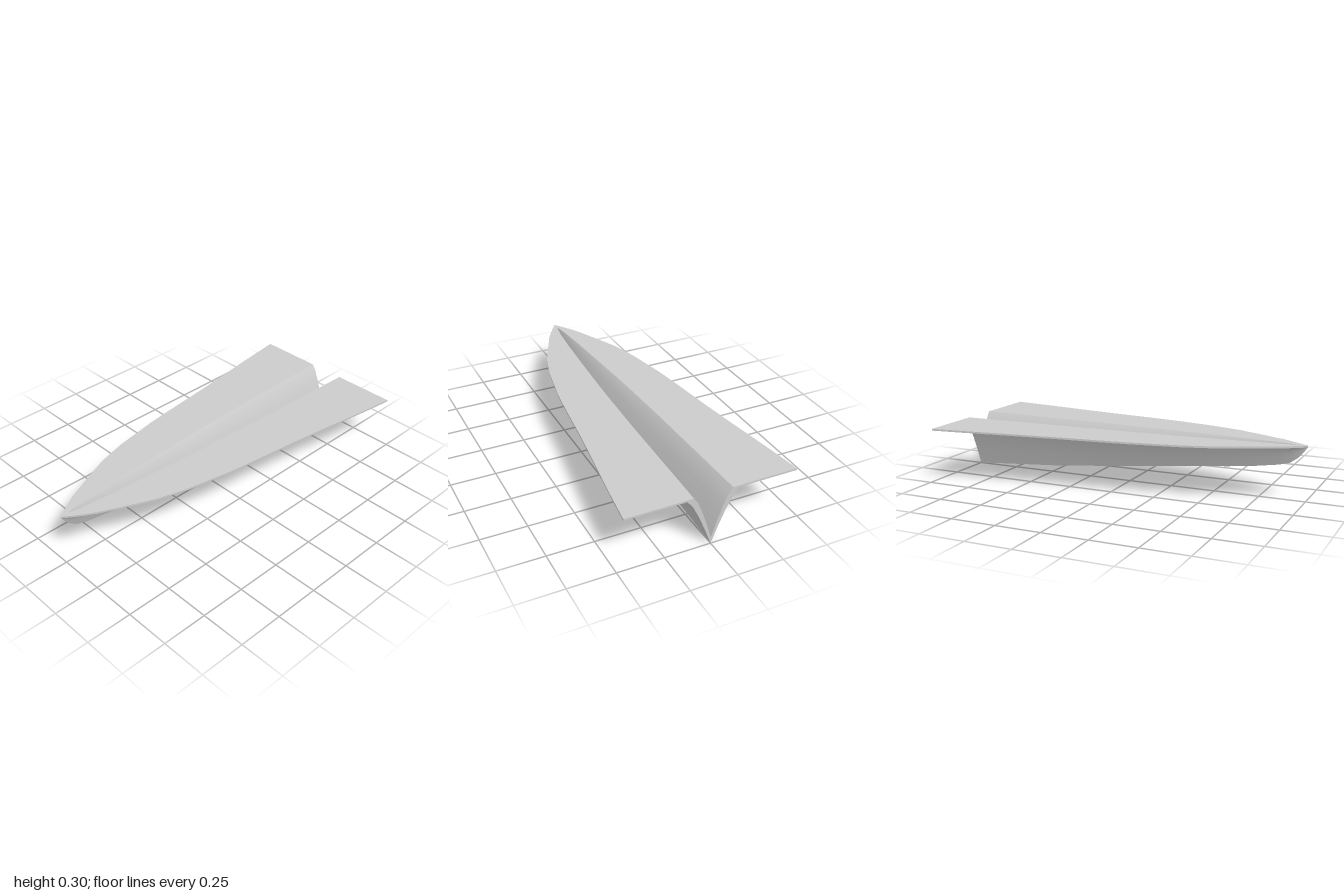
import * as THREE from 'three';
import { toCreasedNormals } from 'three/addons/utils/BufferGeometryUtils.js';

const WING_TOP = 0.303, WING_BOTTOM = 0.293;

// Stations from tail to nose: z, wing half width, groove half width, keel height
const STATIONS = [
  [-1, 0.465, 0.105, 0.003],
  [-0.8, 0.44, 0.1, 0.018],
  [-0.5, 0.397, 0.092, 0.039],
  [-0.3, 0.37, 0.087, 0.058],
  [0, 0.335, 0.075, 0.088],
  [0.15, 0.315, 0.068, 0.104],
  [0.4, 0.268, 0.052, 0.131],
  [0.57, 0.22, 0.04, 0.148],
  [0.7, 0.163, 0.031, 0.163],
  [0.85, 0.095, 0.017, 0.187],
  [0.91, 0.06, 0.009, 0.203],
  [0.955, 0.031, 0, 0.236],
  [0.98, 0.014, 0, 0.266],
  [1, 0, 0, 0.298],
];

// Flared side of the V fold: fraction of width, fraction of height
const FLARE = [[0, 0], [0.24, 0.3], [0.5, 0.6], [0.78, 0.87], [1, 1]];

// Half cross-section: upper skin from fold to wing tip, lower skin from keel to wing tip
function section([z, wing, groove, keel]) {
  const point = (x, y) => new THREE.Vector3(x, y, z);
  const low = Math.min(keel, WING_BOTTOM);
  const hull = Math.min(wing, groove + 0.034);
  const fold = groove > 0 ? keel + 0.038 : WING_TOP;
  const upper = FLARE.map(([u, v]) => point(groove * u, fold + (WING_TOP - fold) * v));
  const lower = FLARE.map(([u, v]) => point(hull * u, low + (WING_BOTTOM - low) * v));
  upper.push(point(wing, WING_TOP));
  lower.push(point(wing, WING_BOTTOM));
  return { upper, lower, loop: [...upper, ...lower.reverse()], under: lower.slice().reverse() };
}

function createHullGeometry() {
  const positions = [];
  const ab = new THREE.Vector3(), ac = new THREE.Vector3();

  // Adds a triangle and its mirror image, skipping collapsed ones
  const triangle = (a, b, c) => {
    ab.subVectors(b, a);
    ac.subVectors(c, a);
    if (ab.cross(ac).length() < 1e-8) return;
    for (const p of [a, b, c]) positions.push(p.x, p.y, p.z);
    for (const p of [a, c, b]) positions.push(-p.x, p.y, p.z);
  };
  const quad = (a, b, c, d) => {
    triangle(a, b, c);
    triangle(a, c, d);
  };

  // Skin lofted between neighbouring stations
  const sections = STATIONS.map(section);
  for (let s = 0; s < sections.length - 1; s++) {
    const p = sections[s].loop, q = sections[s + 1].loop;
    for (let i = 0; i < p.length - 1; i++) quad(p[i], q[i], q[i + 1], p[i + 1]);
  }

  // Tail end face
  const { upper, under } = sections[0];
  for (let i = 0; i < upper.length - 1; i++) quad(upper[i], upper[i + 1], under[i + 1], under[i]);

  // Tiny vertical edge at the nose point closes itself through the collapsed wing width
  const geometry = new THREE.BufferGeometry();
  geometry.setAttribute('position', new THREE.Float32BufferAttribute(positions, 3));
  return toCreasedNormals(geometry, THREE.MathUtils.degToRad(28));
}

export function createModel() {
  const group = new THREE.Group();
  group.name = 'foldedGlider';
  const material = new THREE.MeshStandardMaterial({ color: 0xcccccc, side: THREE.DoubleSide });
  const body = new THREE.Mesh(createHullGeometry(), material);
  body.name = 'wingsAndKeel';
  group.add(body);
  return group;
}
